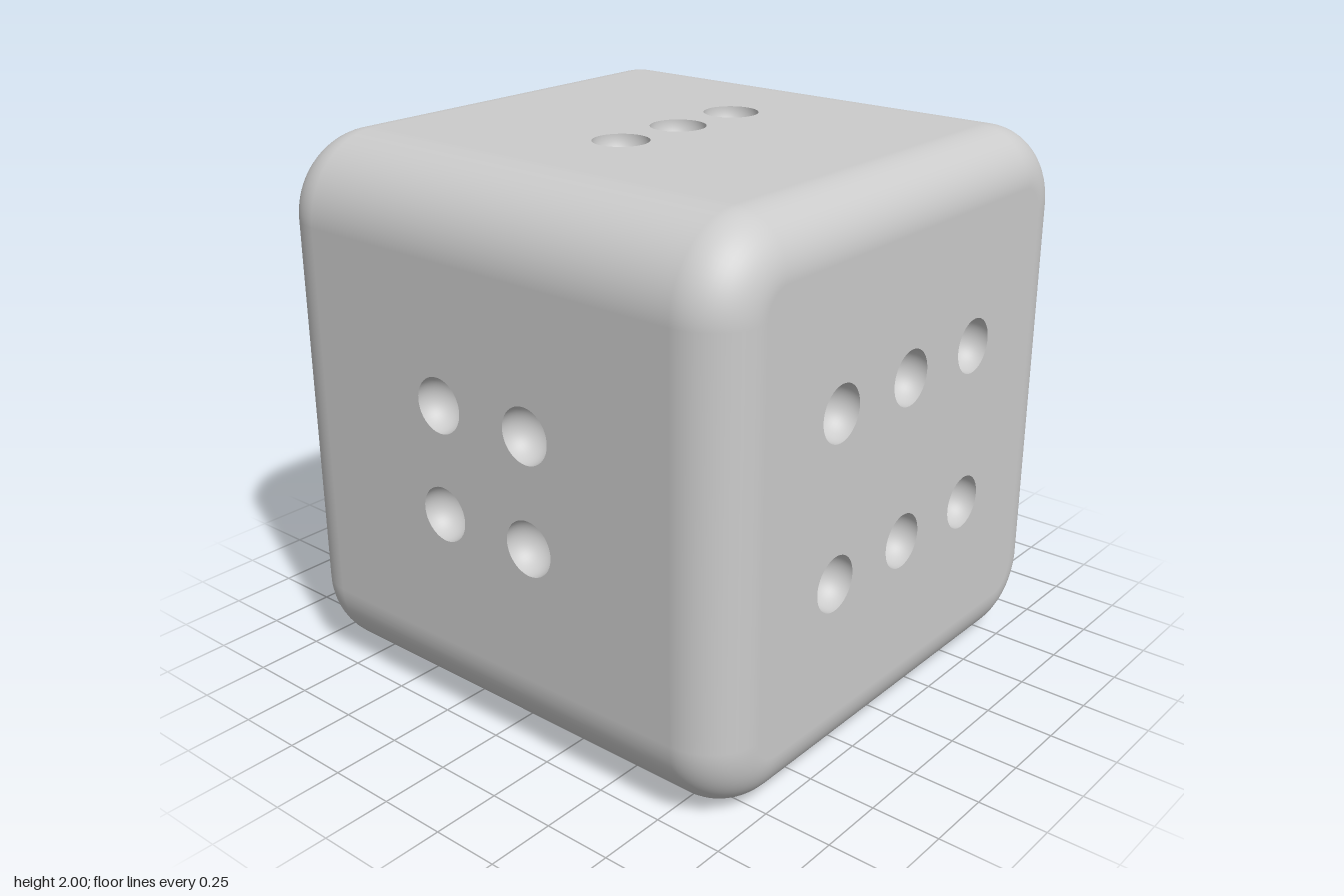
import * as THREE from 'three';

const R = 0.3;        // rounding of the four edges that run front to back
const BEVEL = 0.2;    // rounding around the front and back faces
const PIP = 0.1;      // pip radius
const CORE = 1 - R;   // corner centre of the rounded square
const DEPTH = 1 - BEVEL;

const material = new THREE.MeshStandardMaterial({ color: 0xcccccc });
const bowlMaterial = new THREE.MeshStandardMaterial({ color: 0xcccccc, side: THREE.DoubleSide });

// Rounded edges: a rounded square carried along a front-to-back profile
function roundedEdges() {
  const arcSteps = 16, bevelSteps = 14;
  const profile = [];
  for (const side of [-1, 1]) {
    for (let k = 0; k <= bevelSteps; k++) {
      const t = (side < 0 ? k - bevelSteps : k) / bevelSteps * Math.PI / 2;
      profile.push({ t, z: side * DEPTH + BEVEL * Math.sin(t) });
    }
  }
  const position = [], normal = [], index = [];
  const ring = 4 * (arcSteps + 1);
  for (const { t, z } of profile) {
    const r = R - BEVEL + BEVEL * Math.cos(t);
    for (let c = 0; c < 4; c++) {
      const mid = (c + 0.5) * Math.PI / 2;
      const cx = CORE * Math.sign(Math.cos(mid)), cy = CORE * Math.sign(Math.sin(mid));
      for (let i = 0; i <= arcSteps; i++) {
        const a = (c + i / arcSteps) * Math.PI / 2;
        position.push(cx + r * Math.cos(a), cy + r * Math.sin(a), z);
        normal.push(Math.cos(a) * Math.cos(t), Math.sin(a) * Math.cos(t), Math.sin(t));
      }
    }
  }
  for (let j = 0; j < profile.length - 1; j++) {
    for (let i = 0; i < ring; i++) {
      // the flat sides are left open for the pipped panels
      const flat = i % (arcSteps + 1) === arcSteps;
      if (flat && j === bevelSteps) continue;
      const n = (i + 1) % ring;
      const a = j * ring + i, b = j * ring + n, c = a + ring, d = b + ring;
      index.push(a, b, d, a, d, c);
    }
  }
  const geometry = new THREE.BufferGeometry();
  geometry.setAttribute('position', new THREE.Float32BufferAttribute(position, 3));
  geometry.setAttribute('normal', new THREE.Float32BufferAttribute(normal, 3));
  geometry.setIndex(index);
  return geometry;
}

// Flat panel outline, w and h are half sizes
function panelShape(w, h, r) {
  const s = new THREE.Shape();
  if (r === 0) {
    s.moveTo(-w, -h).lineTo(w, -h).lineTo(w, h).lineTo(-w, h).closePath();
  } else {
    s.absarc(w - r, h - r, r, 0, Math.PI / 2);
    s.absarc(r - w, h - r, r, Math.PI / 2, Math.PI);
    s.absarc(r - w, r - h, r, Math.PI, Math.PI * 1.5);
    s.absarc(w - r, r - h, r, Math.PI * 1.5, Math.PI * 2);
    s.closePath();
  }
  return s;
}

// One face of the die: panel with round holes and a hollow bowl behind each
const bowl = new THREE.SphereGeometry(PIP, 48, 14, 0, Math.PI * 2, 0, Math.PI / 2).rotateX(-Math.PI / 2);
function makeFace(name, shape, pips) {
  const face = new THREE.Group();
  face.name = name;
  for (const [x, y] of pips) {
    shape.holes.push(new THREE.Path().absarc(x, y, PIP, 0, Math.PI * 2, true));
    const pip = new THREE.Mesh(bowl, bowlMaterial);
    pip.name = 'pip';
    pip.position.set(x, y, 0);
    face.add(pip);
  }
  const panel = new THREE.Mesh(new THREE.ShapeGeometry(shape, 24), material);
  panel.name = 'panel';
  face.add(panel);
  return face;
}

// Pips at every crossing of the given columns and rows
const grid = (xs, ys) => xs.flatMap(x => ys.map(y => [x, y]));

export function createModel() {
  const model = new THREE.Group();
  model.name = 'die';
  const body = new THREE.Group();
  body.name = 'body';
  body.position.y = 1;
  model.add(body);

  const edges = new THREE.Mesh(roundedEdges(), material);
  edges.name = 'roundedEdges';
  body.add(edges);

  const square = () => panelShape(DEPTH, DEPTH, R - BEVEL);
  const side = () => panelShape(DEPTH, CORE, 0);
  const cap = () => panelShape(CORE, DEPTH, 0);
  const q = Math.PI / 2;
  // name, outline, pips, direction, rotation about x and y
  const faces = [
    ['frontFace', square(), grid([-0.4, 0, 0.4], [-0.3, 0.3]), [0, 0, 1], 0, 0],
    ['backFace', square(), [[0, 0], ...grid([-0.25, 0.25], [-0.25, 0.25])], [0, 0, -1], 0, 2 * q],
    ['leftFace', side(), grid([0], [-0.2, 0.2]), [1, 0, 0], 0, q],
    ['rightFace', side(), grid([-0.2, 0.2], [-0.2, 0.2]), [-1, 0, 0], 0, -q],
    ['topFace', cap(), grid([-0.3, 0, 0.3], [0]), [0, 1, 0], -q, 0],
    ['bottomFace', cap(), [[0, 0]], [0, -1, 0], q, 0],
  ];
  for (const [name, shape, pips, direction, rx, ry] of faces) {
    const face = makeFace(name, shape, pips);
    face.position.set(...direction);
    face.rotation.set(rx, ry, 0);
    body.add(face);
  }
  return model;
}
